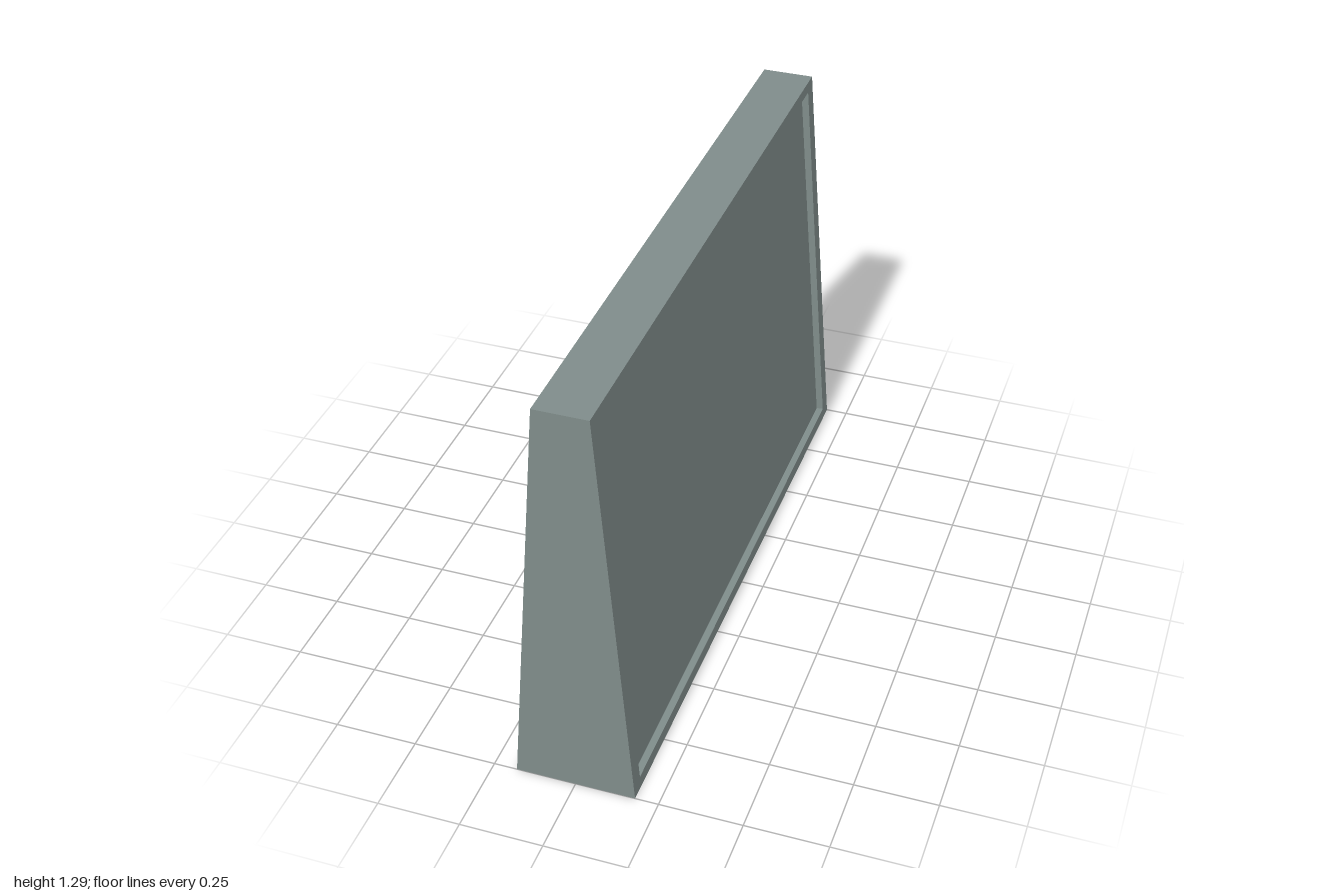
import * as THREE from 'three';

const HEIGHT = 1.29, BASE = 0.18, TOP = 0.08, HALF_LENGTH = 1;
const SLOPE = (BASE - TOP) / HEIGHT;
const faceX = (y) => BASE - SLOPE * y;

// Rectangle on a sloping side: side is +1 (left) or -1 (right), sunk inward at a right angle by depth
function loop(side, halfZ, y0, y1, depth = 0) {
  const corner = (y, z) =>
    new THREE.Vector3(side * (faceX(y) - depth), y - depth * SLOPE, z);
  return [corner(y0, halfZ), corner(y0, -halfZ), corner(y1, -halfZ), corner(y1, halfZ)];
}

// Flat-shaded geometry from four-cornered faces
function fromQuads(quads) {
  const points = quads.flatMap(([a, b, c, d]) => [a, b, c, a, c, d]);
  const geometry = new THREE.BufferGeometry().setFromPoints(points);
  geometry.computeVertexNormals();
  return geometry;
}

// Four faces joining one loop to the next
const strip = (a, b) => a.map((p, i) => [p, a[(i + 1) % 4], b[(i + 1) % 4], b[i]]);

export function createModel() {
  const group = new THREE.Group();
  group.name = 'taperedPanel';
  const grey = new THREE.MeshStandardMaterial({ color: 0x7f8c8a });
  grey.name = 'greenish grey';

  const plain = loop(-1, HALF_LENGTH, 0, HEIGHT);
  const outer = loop(1, HALF_LENGTH, 0, HEIGHT);
  const opening = loop(1, 0.95, 0.037, 1.258);
  const inner = loop(1, 0.95, 0.037, 1.258, 0.022);

  const add = (name, quads) => {
    const mesh = new THREE.Mesh(fromQuads(quads), grey);
    mesh.name = name;
    group.add(mesh);
  };

  // Tapered block with its plain side, top, bottom and ends
  add('body', [[...plain].reverse(), ...strip(plain, outer)]);
  // Rim around the opening
  add('frame', strip(outer, opening));
  // Shallow walls and sunken panel
  add('recess', [...strip(opening, inner), inner]);

  return group;
}
